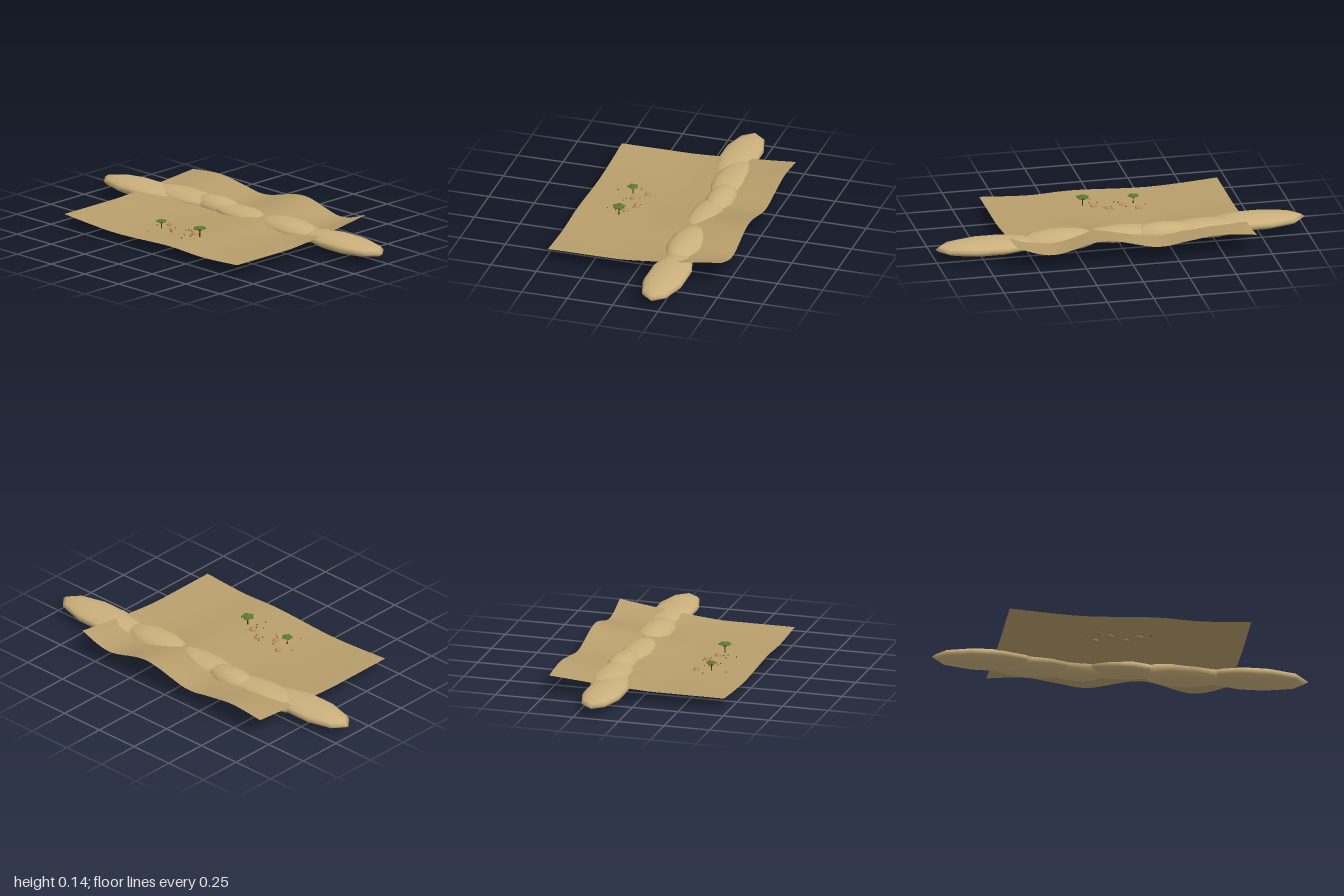
import * as THREE from 'three';

const X0 = -0.67, X1 = 0.61, DEPTH = 0.96;

// Height profiles of the ground along x, at the rolling back edge and the calm front edge
const curve = pts => new THREE.SplineCurve(pts.map(p => new THREE.Vector2(p[0], p[1])));
const sampler = pts => {
  const samples = curve(pts).getPoints(200);
  return x => {
    const i = samples.findIndex(p => p.x >= x);
    if (i < 0) return samples[200].y;
    if (i === 0) return samples[0].y;
    const a = samples[i - 1], b = samples[i];
    return a.y + (b.y - a.y) * (x - a.x) / (b.x - a.x);
  };
};
const backHeight = sampler([[X0, 0.108], [-0.47, 0.124], [-0.3, 0.103], [-0.13, 0.085], [0.15, 0.14], [0.42, 0.085], [X1, 0.135]]);
const frontHeight = sampler([[X0, 0.07], [-0.3, 0.049], [0.1, 0.063], [0.35, 0.055], [X1, 0.068]]);

function groundY(x, z) {
  const t = Math.pow(THREE.MathUtils.clamp((0.1 - z) / 0.58, 0, 1), 1.3);
  return THREE.MathUtils.lerp(frontHeight(x), backHeight(x), t);
}

export function createModel() {
  const model = new THREE.Group();
  model.name = 'savannaLandscape';

  const mat = (name, color, side = THREE.FrontSide) => {
    const m = new THREE.MeshStandardMaterial({ color, side });
    m.name = name;
    return m;
  };
  const sand = mat('drySand', 0xb89e6c, THREE.DoubleSide);
  const hill = mat('paleHill', 0xcbb07c);
  const rock = mat('ochreRock', 0xba905c);
  const bark = mat('bark', 0x4a3624);
  const leaf = mat('leafGreen', 0x5c7a34);
  const pebble = mat('pebbleBrown', 0x6e5233);

  const add = (parent, name, geo, material, pos, scale = [1, 1, 1]) => {
    const m = new THREE.Mesh(geo, material);
    m.name = name;
    m.position.set(...pos);
    m.scale.set(...scale);
    parent.add(m);
    return m;
  };

  // Rolling ground sheet
  const ground = new THREE.PlaneGeometry(X1 - X0, DEPTH, 48, 24);
  ground.rotateX(-Math.PI / 2).translate((X0 + X1) / 2, 0, 0);
  const p = ground.attributes.position;
  for (let i = 0; i < p.count; i++) p.setY(i, groundY(p.getX(i), p.getZ(i)));
  ground.computeVertexNormals();
  add(model, 'ground', ground, sand, [0, 0, 0]);

  // Chain of long rounded hills: x, y, z, then radii
  const ridge = new THREE.Group();
  ridge.name = 'ridge';
  const hillGeo = new THREE.SphereGeometry(1, 10, 8);
  [
    [-0.72, 0.064, -0.155, 0.28, 0.04, 0.108],
    [-0.45, 0.062, -0.2, 0.25, 0.046, 0.1],
    [-0.22, 0.06, -0.21, 0.165, 0.055, 0.082],
    [0.0, 0.064, -0.19, 0.22, 0.04, 0.086],
    [0.33, 0.058, -0.195, 0.22, 0.057, 0.1],
    [0.71, 0.062, -0.21, 0.29, 0.041, 0.112],
  ].forEach(([x, y, z, rx, ry, rz], i) => add(ridge, `hill${i + 1}`, hillGeo, hill, [x, y, z], [rx, ry, rz]));
  model.add(ridge);

  // Boulders half sunk in the ground
  const rockGeo = new THREE.SphereGeometry(1, 10, 8);
  [[-0.18, 0.18, 0.02], [-0.107, 0.24, 0.019], [-0.02, 0.19, 0.019], [0.05, 0.23, 0.021]].forEach(([x, z, r], i) =>
    add(model, `boulder${i + 1}`, rockGeo, rock, [x, groundY(x, z), z], [r, r * 0.68, r * 0.9]));

  // Scattered pebbles
  const pebbleGeo = new THREE.IcosahedronGeometry(0.004, 0);
  [[-0.23, 0.23], [-0.04, 0.21], [-0.07, 0.28], [-0.09, 0.27], [0.02, 0.28], [0.065, 0.28], [0.05, 0.33],
    [-0.185, 0.345], [-0.12, 0.205], [0.0, 0.205], [0.05, 0.26], [-0.045, 0.175]].forEach(([x, z], i) =>
    add(model, `pebble${i + 1}`, pebbleGeo, pebble, [x, groundY(x, z) + 0.002, z]));

  // Flat-topped trees with a forked trunk and a ring of leaf pads
  const limb = (parent, name, a, b, r) => {
    const from = new THREE.Vector3(...a), dir = new THREE.Vector3(...b).sub(from);
    const m = add(parent, name, new THREE.CylinderGeometry(r * 0.7, r, dir.length(), 6), bark,
      from.clone().addScaledVector(dir, 0.5).toArray());
    m.quaternion.setFromUnitVectors(new THREE.Vector3(0, 1, 0), dir.normalize());
  };
  const padGeo = new THREE.SphereGeometry(1, 10, 6);
  [[-0.17, 0.26, 0.9], [0.105, 0.25, 1.05]].forEach(([x, z, s], i) => {
    const tree = new THREE.Group();
    tree.name = `tree${i + 1}`;
    limb(tree, 'trunk', [0, -0.005, 0], [0, 0.032, 0], 0.0035);
    for (let k = 0; k < 5; k++) {
      const a = k * Math.PI * 2 / 5 + i * 0.5, c = Math.cos(a), d = Math.sin(a);
      limb(tree, 'branch', [0, 0.029, 0], [c * 0.018, 0.045, d * 0.018], 0.002);
      add(tree, 'leafPad', padGeo, leaf, [c * 0.019, 0.046, d * 0.019], [0.015, 0.0045, 0.015]);
    }
    add(tree, 'crownPad', padGeo, leaf, [0, 0.049, 0], [0.019, 0.006, 0.019]);
    tree.position.set(x, groundY(x, z), z);
    tree.scale.setScalar(s);
    model.add(tree);
  });

  return model;
}
